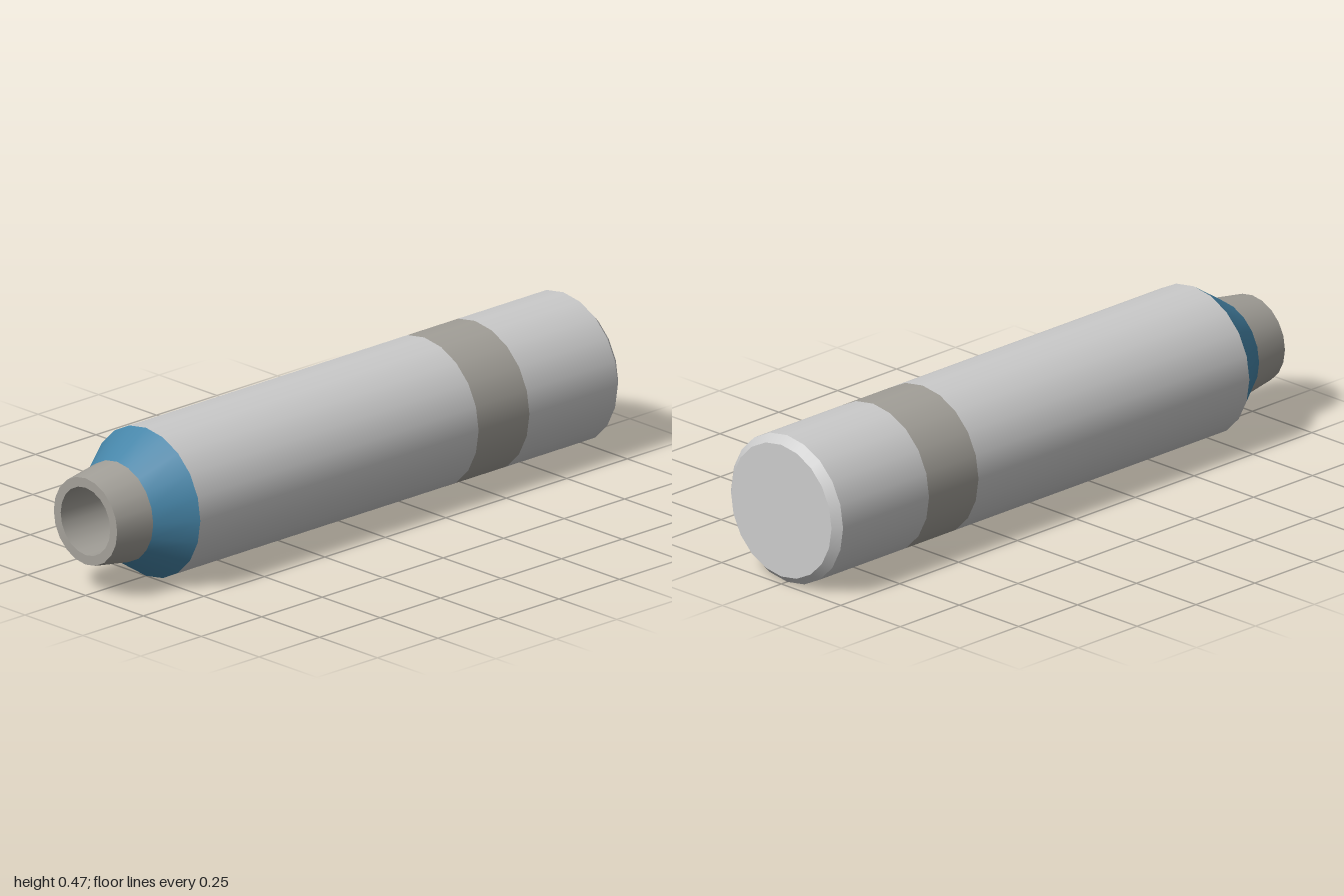
import * as THREE from 'three';
import { mergeGeometries } from 'three/addons/utils/BufferGeometryUtils.js';

const SIDES = 20;
const R = 0.235;

const grey = new THREE.MeshStandardMaterial({ color: 0xcccccc });
const metal = new THREE.MeshStandardMaterial({ color: 0xa3a099 });
const blue = new THREE.MeshStandardMaterial({ color: 0x4685a8 });

// Turned part: profile of [x along axis, radius]; smooth around, sharp at each profile corner
function turned(name, profile, material) {
  const rings = [];
  for (let i = 0; i < profile.length - 1; i++) {
    const pair = [profile[i], profile[i + 1]].map(([x, r]) => new THREE.Vector2(r, x));
    rings.push(new THREE.LatheGeometry(pair, SIDES));
  }
  const geometry = mergeGeometries(rings);
  geometry.rotateZ(-Math.PI / 2); // lathe axis becomes +x
  geometry.translate(0, R, 0);
  const mesh = new THREE.Mesh(geometry, material);
  mesh.name = name;
  return mesh;
}

export function createModel() {
  const group = new THREE.Group();
  group.name = 'cylinder';
  group.add(
    // Hollow nozzle: bore floor, bore wall, rim, tapered outside
    turned('nozzle', [[-0.75, 0], [-0.75, 0.107], [-1, 0.107], [-1, 0.137], [-0.87, 0.157]], metal),
    // Coloured cone between nozzle and body
    turned('shoulder', [[-0.87, 0.157], [-0.75, R]], blue),
    // Main tube, flush band, and chamfered closed end
    turned('body', [[-0.75, R], [0.4, R]], grey),
    turned('band', [[0.4, R], [0.61, R]], metal),
    turned('endCap', [[0.61, R], [0.975, R], [1, 0.211], [1, 0]], grey),
  );
  return group;
}
